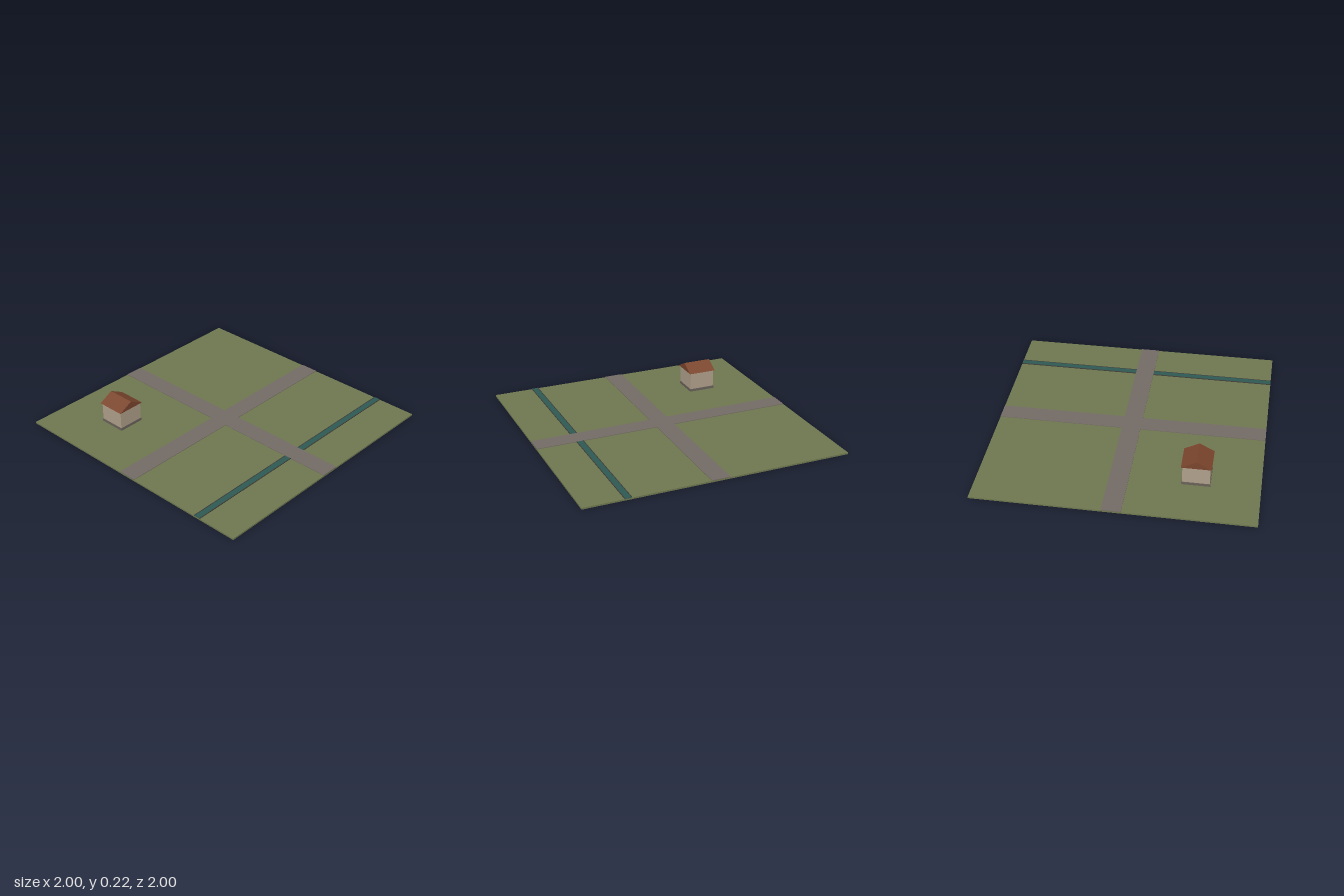
import * as THREE from 'three';

const mat = (name, color) => {
  const m = new THREE.MeshStandardMaterial({ color });
  m.name = name;
  return m;
};

export function createModel() {
  const grass = mat('grass green', 0x6f7850);
  const road = mat('road grey', 0x746b65);
  const water = mat('water teal', 0x2f5a55);
  const bank = mat('bank brown', 0x40403a);
  const stone = mat('foundation stone', 0x6a625a);
  const plaster = mat('wall plaster', 0xb0a08b);
  const tile = mat('roof tile', 0x7b452d);

  const group = new THREE.Group();
  group.name = 'crossroadsPlot';

  // Box given by its limits on each axis
  const box = (parent, name, material, [x0, x1], [y0, y1], [z0, z1]) => {
    const mesh = new THREE.Mesh(new THREE.BoxGeometry(x1 - x0, y1 - y0, z1 - z0), material);
    mesh.position.set((x0 + x1) / 2, (y0 + y1) / 2, (z0 + z1) / 2);
    mesh.name = name;
    parent.add(mesh);
  };

  // Ground slab
  const top = 0.012;
  box(group, 'ground', grass, [-1, 1], [0, top], [-1, 1]);

  // Crossing roads: one full length, the other in two halves
  const half = 0.07, roadTop = 0.016;
  box(group, 'longRoad', road, [-half, half], [top, roadTop], [-1, 1]);
  box(group, 'leftRoad', road, [half, 1], [top, roadTop], [-half, half]);
  box(group, 'rightRoad', road, [-1, -half], [top, roadTop], [-half, half]);

  // Stream with narrow banks, interrupted by the road
  for (const [side, span] of [['left', [half, 1]], ['right', [-1, -half]]]) {
    box(group, side + 'Stream', water, span, [top, 0.0155], [0.654, 0.698]);
    box(group, side + 'BackBank', bank, span, [top, 0.018], [0.649, 0.654]);
    box(group, side + 'FrontBank', bank, span, [top, 0.018], [0.698, 0.702]);
  }

  // House
  const house = new THREE.Group();
  house.name = 'house';
  house.position.set(-0.544, top, -0.544);
  group.add(house);
  box(house, 'foundation', stone, [-0.102, 0.102], [0, 0.02], [-0.102, 0.102]);
  box(house, 'walls', plaster, [-0.098, 0.098], [0.02, 0.153], [-0.098, 0.098]);

  // Gabled roof with its ridge running front to back
  const gable = new THREE.Shape([
    new THREE.Vector2(-0.108, 0),
    new THREE.Vector2(0.108, 0),
    new THREE.Vector2(0, 0.058),
  ]);
  const roof = new THREE.Mesh(
    new THREE.ExtrudeGeometry(gable, { depth: 0.216, bevelEnabled: false }), tile);
  roof.name = 'roof';
  roof.position.set(0, 0.153, -0.108);
  house.add(roof);

  return group;
}
